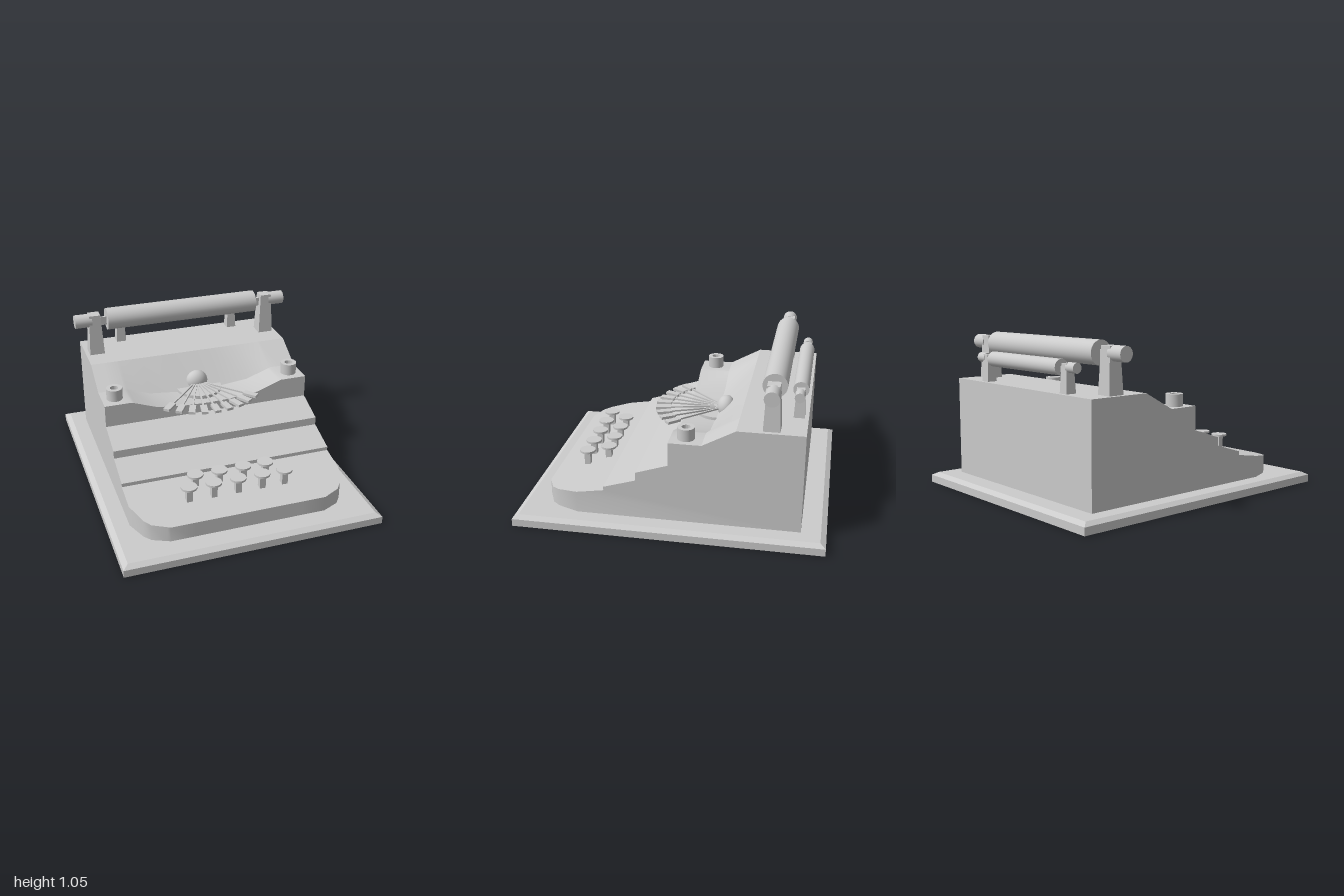
import * as THREE from 'three';
import { toCreasedNormals } from 'three/addons/utils/BufferGeometryUtils.js';

const grey = new THREE.MeshStandardMaterial({ color: 0xcccccc });
const flat = new THREE.MeshStandardMaterial({ color: 0xcccccc, flatShading: true });

function add(parent, name, geometry, x = 0, y = 0, z = 0, material = grey) {
  const mesh = new THREE.Mesh(geometry, material);
  mesh.name = name;
  mesh.position.set(x, y, z);
  parent.add(mesh);
  return mesh;
}

// Piecewise linear lookup through [x, value] pairs
function lerpTable(table, x) {
  for (let i = 1; i < table.length; i++) {
    const [x0, v0] = table[i - 1], [x1, v1] = table[i];
    if (x <= x1) return v0 + (v1 - v0) * (x - x0) / (x1 - x0);
  }
  return table[table.length - 1][1];
}

// Plinth with a bevelled top edge
function baseGeometry() {
  const g = new THREE.BoxGeometry(1.72, 0.07, 2, 1, 2, 1);
  const p = g.attributes.position;
  for (let i = 0; i < p.count; i++) {
    const y = p.getY(i);
    if (Math.abs(y) < 0.01) p.setY(i, 0.015);
    else if (y > 0) {
      p.setX(i, p.getX(i) - Math.sign(p.getX(i)) * 0.035);
      p.setZ(i, p.getZ(i) - Math.sign(p.getZ(i)) * 0.035);
    }
  }
  return g;
}

// Stepped body: side profiles lofted across x, with rounded front corners and a dished shelf
function bodyGeometry() {
  const front = [[0, 0.84], [0.52, 0.84], [0.63, 0.79], [0.67, 0.74], [0.725, 0.6]];
  const shelf = [[0, 0.525], [0.16, 0.53], [0.36, 0.55], [0.54, 0.615], [0.725, 0.615]];
  const half = [0.16, 0.36, 0.52, 0.54, 0.63, 0.67, 0.725];
  const xs = [...half.map(x => -x).reverse(), 0, ...half];
  const sections = xs.map(x => {
    const f = lerpTable(front, Math.abs(x)), h = lerpTable(shelf, Math.abs(x));
    return [[-0.84, 0.06], [f, 0.06], [f, 0.175 + (0.84 - f) / 6], [0.42, 0.245], [0.42, 0.27],
      [0.21, 0.335], [0.21, 0.39], [0, 0.46], [0, h], [-0.21, h], [-0.42, 0.73], [-0.84, 0.73]];
  });
  const n = sections[0].length, last = xs.length - 1;
  const positions = [], index = [];
  sections.forEach((s, i) => s.forEach(([z, y]) => positions.push(xs[i], y, z)));
  for (let i = 0; i < last; i++) {
    for (let j = 0; j < n; j++) {
      const a = i * n + j, b = i * n + (j + 1) % n;
      index.push(a, a + n, b, b, a + n, b + n);
    }
  }
  const outline = sections[0].map(([z, y]) => new THREE.Vector2(z, y));
  for (const [a, b, c] of THREE.ShapeUtils.triangulateShape(outline, [])) {
    index.push(a, b, c, last * n + a, last * n + c, last * n + b);
  }
  const g = new THREE.BufferGeometry();
  g.setAttribute('position', new THREE.Float32BufferAttribute(positions, 3));
  g.setIndex(index);
  return toCreasedNormals(g, 0.5);
}

// Tapering square post
function postGeometry(bottom, top, height) {
  const g = new THREE.CylinderGeometry(top * Math.SQRT1_2, bottom * Math.SQRT1_2, height, 4);
  return g.rotateY(Math.PI / 4).translate(0, height / 2, 0);
}

// Roller with a post, a flat axle and a knob at each end
function roller(name, o) {
  const group = new THREE.Group();
  group.name = name;
  const rod = (r, len) => new THREE.CylinderGeometry(r, r, len, 32).rotateZ(Math.PI / 2);
  add(group, 'rollerCylinder', rod(o.radius, o.half * 2), 0, o.y, o.z);
  for (const s of [-1, 1]) {
    add(group, 'rollerPost', postGeometry(o.post, o.post * 0.74, o.postTop - 0.72), s * o.postX, 0.72, o.z, flat);
    add(group, 'rollerAxle', new THREE.BoxGeometry(o.postX - o.half + 0.02, o.axle, 0.015),
      s * (o.postX + o.half) / 2, o.y - 0.01, o.z);
    const inner = o.postX + o.post * 0.2;
    add(group, 'rollerKnob', rod(o.knob, o.end - inner), s * (o.end + inner) / 2, o.y + 0.004, o.z);
  }
  return group;
}

export function createModel() {
  const model = new THREE.Group();
  model.name = 'typewriter';
  add(model, 'base', baseGeometry(), 0, 0.035, 0, flat);
  add(model, 'body', bodyGeometry());

  // Rollers on top
  model.add(
    roller('mainRoller', { radius: 0.077, half: 0.557, y: 0.972, z: -0.63, post: 0.107,
      postX: 0.645, postTop: 1.02, axle: 0.06, knob: 0.048, end: 0.785 }),
    roller('rearRoller', { radius: 0.05, half: 0.37, y: 0.882, z: -0.78, post: 0.07,
      postX: 0.43, postTop: 0.91, axle: 0.035, knob: 0.032, end: 0.522 }));

  // Ribbon spools with a hollow centre
  const spool = [[0.055, 0], [0.055, 0.08], [0.028, 0.08], [0.028, 0.045], [0, 0.045]]
    .map(([r, y]) => new THREE.Vector2(r, y));
  const spoolGeometry = toCreasedNormals(new THREE.LatheGeometry(spool, 32), 0.5);
  for (const s of [-1, 1]) add(model, 'ribbonSpool', spoolGeometry, s * 0.635, 0.614, -0.1);

  // Type basket: hub, half-round plate and fanned bars
  const basket = new THREE.Group();
  basket.name = 'typeBasket';
  model.add(basket);
  add(basket, 'hub', new THREE.SphereGeometry(0.077, 32, 20).scale(1, 1, 0.8), 0, 0.57, -0.265);
  add(basket, 'basketPlate', new THREE.CylinderGeometry(0.16, 0.16, 0.025, 32, 1, false, -Math.PI / 2, Math.PI),
    0, 0.537, -0.22);
  for (let i = -4; i <= 4; i++) {
    const arm = new THREE.Group();
    arm.name = 'typeBar';
    arm.position.set(0, 0.566, -0.265);
    arm.rotation.y = i * 0.187;
    add(arm, 'typeBarRod', new THREE.BoxGeometry(0.011, 0.011, 0.4), 0, 0, 0.2);
    add(arm, 'typeBarHead', new THREE.BoxGeometry(0.045, 0.018, 0.1), 0, 0, 0.43);
    basket.add(arm);
  }

  // Two rows of round keys on square stems
  const capGeometry = new THREE.CylinderGeometry(0.053, 0.053, 0.014, 24);
  const rows = [[0.64, [-0.34, -0.175, -0.01, 0.155, 0.31]], [0.515, [-0.26, -0.095, 0.07, 0.225]]];
  for (const [z, xs] of rows) {
    const foot = 0.175 + (0.84 - z) / 6 - 0.01;
    for (const x of xs) {
      add(model, 'keyCap', capGeometry, x, 0.306, z);
      add(model, 'keyStem', new THREE.BoxGeometry(0.04, 0.3 - foot, 0.04), x, (0.3 + foot) / 2, z);
    }
  }
  return model;
}
